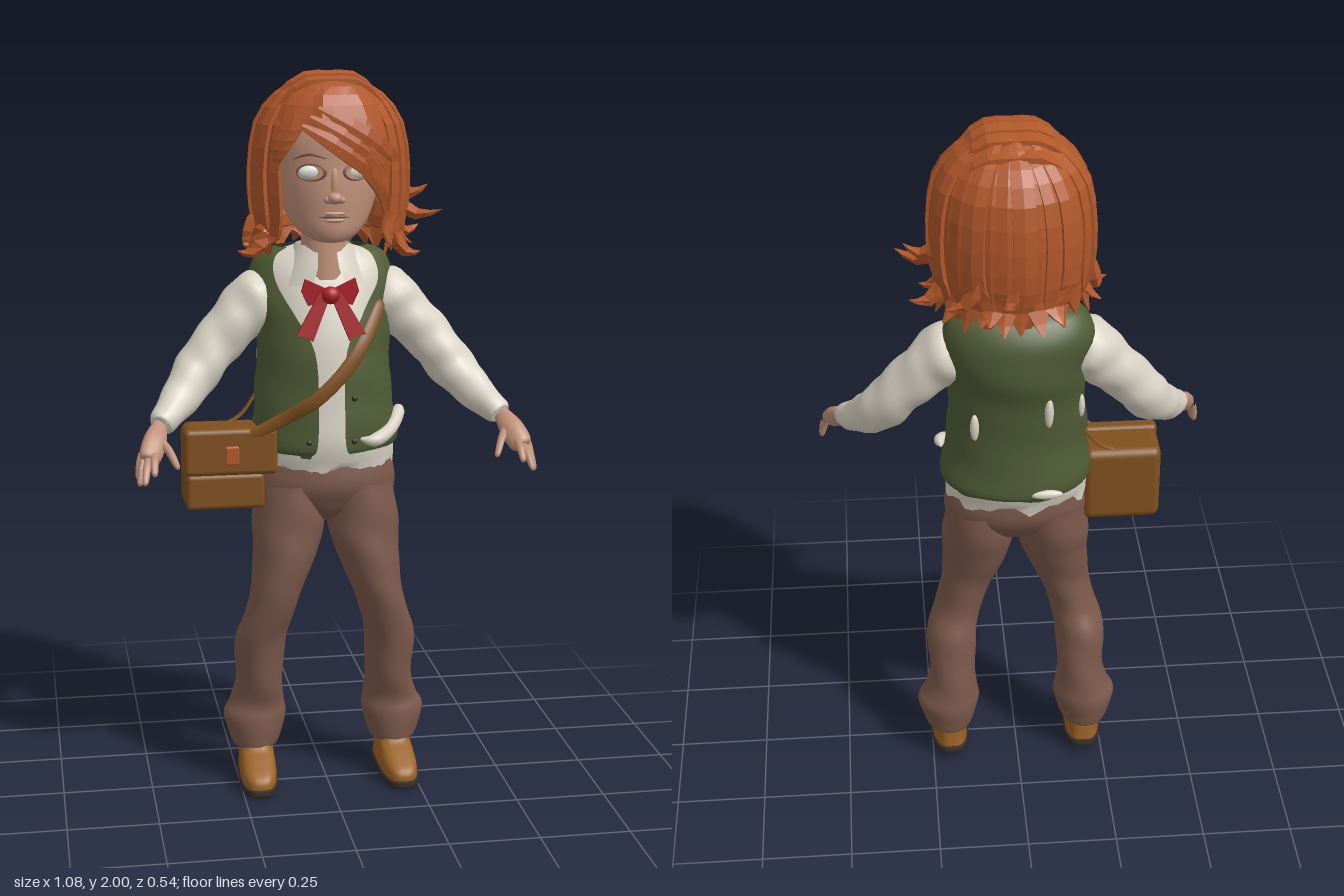
import * as THREE from 'three';
import { RoundedBoxGeometry } from 'three/addons/geometries/RoundedBoxGeometry.js';

const V = (x, y, z) => new THREE.Vector3(x, y, z);
const { sin, cos, PI, min, max } = Math;

// Smooth interpolation through a list of number rows
function mix(P, t) {
  const n = P.length - 1, s = min(t * n, n - 1e-6), i = Math.floor(s), f = s - i;
  return P[i].map((b, k) => {
    const a = P[max(i - 1, 0)][k], c = P[i + 1][k], d = P[min(i + 2, n)][k];
    return b + 0.5 * f * (c - a + f * (2 * a - 5 * b + 4 * c - d + f * (3 * (b - c) + d - a)));
  });
}

// Surface through rows of points
function grid(rows, closed) {
  const m = rows[0].length, idx = [], pos = rows.flat().flatMap(p => [p.x, p.y, p.z]);
  for (let i = 0; i < rows.length - 1; i++) {
    for (let j = 0; j < (closed ? m : m - 1); j++) {
      const a = i * m + j, b = i * m + (j + 1) % m;
      idx.push(a, b, b + m, a, b + m, a + m);
    }
  }
  const g = new THREE.BufferGeometry();
  g.setAttribute('position', new THREE.Float32BufferAttribute(pos, 3));
  g.setIndex(idx);
  g.computeVertexNormals();
  return g;
}

// Upward stack of ellipses [cx, y, cz, rx, rz], with optional front opening [.., left x, right x]
function loft(rings, { seg = 32, rows = rings.length * 4, wob = () => 0, edge = () => 0 } = {}) {
  const open = rings[0].length > 5, out = [];
  const asin = v => Math.asin(max(-1, min(1, v)));
  for (let i = 0; i <= rows; i++) {
    const [cx, y, cz, rx, rz, L, R] = mix(rings, i / rows), row = [];
    const a = open ? asin((R - cx) / rx) : 0, e = 2 * PI + (open ? asin((L - cx) / rx) : 0);
    for (let j = 0; j < seg + (open ? 1 : 0); j++) {
      const th = a + (e - a) * j / seg, k = 1 + wob(th, y);
      row.push(V(cx + rx * k * sin(th), y + (i ? 0 : edge(th)), cz + rz * k * cos(th)));
    }
    out.push(row);
  }
  return grid(out, !open);
}

// Tapered sweep through [x, y, z, radius]; flat widens it across the up direction
function limb(pts, { seg = 12, rows = pts.length * 5, up = V(0, 0, 1), flat = 1, wob = () => 0 } = {}) {
  const out = [];
  for (let i = 0; i <= rows; i++) {
    const t = i / rows, [x, y, z, r] = mix(pts, t);
    const p = mix(pts, min(1, t + 0.01)), q = mix(pts, max(0, t - 0.01));
    const T = V(p[0] - q[0], p[1] - q[1], p[2] - q[2]).normalize();
    const N = up.clone().addScaledVector(T, -up.dot(T)).normalize(), B = T.clone().cross(N), row = [];
    for (let j = 0; j < seg; j++) {
      const a = j / seg * 2 * PI, k = max(r, 0.0005) * (1 + wob(a, t));
      row.push(V(x, y, z).addScaledVector(N, k * cos(a)).addScaledVector(B, k * flat * sin(a)));
    }
    out.push(row);
  }
  return grid(out, true);
}

function facet(g) {
  const f = g.toNonIndexed();
  f.computeVertexNormals();
  return f;
}

export function createModel() {
  const root = new THREE.Group();
  const mat = (name, color, side = THREE.FrontSide) => {
    const m = new THREE.MeshStandardMaterial({ color, side });
    m.name = name;
    return m;
  };
  const hair = mat('ginger hair', 0xb0572a, THREE.DoubleSide), skin = mat('skin', 0xc0917a);
  const green = mat('green cloth', 0x4f5b35, THREE.DoubleSide), cream = mat('cream cloth', 0xd9d3c5, THREE.DoubleSide);
  const brown = mat('brown cloth', 0x7c594b), leather = mat('bag leather', 0x80501f);
  const tan = mat('tan leather', 0x9a6226), dark = mat('dark sole', 0x372d28);
  const red = mat('red ribbon', 0xa82028), white = mat('eye white', 0xdcdcd4);
  const add = (name, geo, m, x = 0, y = 0, z = 0) => {
    const mesh = new THREE.Mesh(geo, m);
    mesh.name = name;
    mesh.position.set(x, y, z);
    root.add(mesh);
    return mesh;
  };
  const ball = (name, m, x, y, z, sx, sy, sz) =>
    add(name, new THREE.SphereGeometry(1, 16, 12), m, x, y, z).scale.set(sx, sy, sz);
  const fold = (th, y) => 0.012 * sin(3 * th + y * 22) + 0.014 * sin(y * 48 + 2 * th);

  // Trousers
  add('trouserSeat', loft([[0, .765, -.03, .02, .03], [0, .79, -.035, .11, .075], [0, .83, -.04, .185, .105],
    [0, .88, -.042, .2, .125], [0, .95, -.045, .188, .12]]), brown);
  for (const s of [1, -1]) {
    add('trouserLeg', loft([[.2, .115, -.055, .04, .05], [.2, .1, -.055, .06, .075], [.2, .14, -.057, .078, .08],
      [.2, .19, -.06, .09, .083], [.193, .23, -.06, .076, .08], [.187, .3, -.048, .066, .086],
      [.185, .42, -.03, .072, .086], [.163, .5, -.005, .067, .085], [.135, .6, 0, .075, .094],
      [.112, .7, -.015, .094, .105], [.105, .78, -.03, .1, .115], [.1, .88, -.04, .09, .116]]
      .map(([x, ...r]) => [s * x, ...r]), { wob: fold }), brown);
    // Shoes, tipped slightly on to the toes
    const square = { wob: th => .13 * sin(2 * th) ** 2 };
    const parts = [
      add('shoe', loft([[0, .02, 0, .05, .128], [0, .05, -.005, .05, .122], [0, .078, -.035, .047, .092],
        [0, .1, -.055, .043, .066], [0, .15, -.06, .043, .055]], square), tan),
      add('shoeSole', loft([[0, 0, 0, .001, .001], [0, 0, 0, .048, .125], [0, .012, 0, .053, .132],
        [0, .024, 0, .052, .13], [0, .026, 0, .02, .08]], { rows: 8, ...square }), dark)];
    for (const p of parts) {
      p.position.set(s * .2, .01, 0);
      p.rotation.set(.09, s * .04, 0);
    }
  }

  // Shirt body, collar and the places where it shows
  add('shirt', loft([[0, .925, -.05, .195, .128], [0, 1, -.052, .195, .149], [0, 1.1, -.05, .184, .141],
    [0, 1.25, -.06, .174, .141], [0, 1.35, -.08, .176, .139], [0, 1.45, -.095, .185, .118],
    [0, 1.5, -.09, .15, .085], [0, 1.53, -.08, .07, .06]],
    { seg: 44, edge: th => .014 * sin(7 * th) + .01 * sin(13 * th) }), cream);
  add('shirtCollar', loft([[0, 1.43, -.05, .13, .105, -.05, .05], [0, 1.475, -.052, .105, .094, -.03, .03],
    [0, 1.535, -.06, .077, .074, -.025, .025]]), cream);
  add('loosenedShirtFold', limb([[.08, 1.015, .085, .004], [.12, 1.01, .085, .018], [.17, 1.03, .045, .018],
    [.205, 1.065, -.02, .018], [.205, 1.07, -.06, .003]], { up: V(0, 1, 0) }), cream);
  for (const [x, y, z, sx, sy] of [[.12, 1.2, -.178, .012, .04], [-.075, 1.25, -.2, .012, .045],
    [-.168, 1.22, -.12, .01, .035], [-.07, .995, -.205, .045, .013]])
    ball('shirtShowing', cream, x, y, z, sx, sy, .012);

  // Waistcoat, open at the front with a V neck
  add('waistcoat', loft([[0, .97, -.055, .186, .142, -.055, .055], [0, .995, -.055, .204, .157, -.04, .04],
    [0, 1.1, -.05, .192, .147, -.036, .036], [0, 1.25, -.06, .182, .147, -.042, .042],
    [0, 1.35, -.08, .188, .147, -.09, .09], [0, 1.44, -.098, .2, .127, -.14, .14],
    [0, 1.5, -.1, .178, .096, -.135, .135], [0, 1.525, -.095, .125, .07, -.1, .1]],
    { seg: 40, wob: (th, y) => fold(th, y) * .8 + .008, edge: th => .008 * sin(5 * th) }), green);
  for (const y of [1.01, 1.13, 1.25])
    for (const s of [1, -1]) ball('waistcoatButton', dark, s * .062, y, .094 - max(0, y - 1.13) * .16, .008, .008, .005);

  // Sleeves and hands
  for (const s of [1, -1]) {
    const arm = (name, pts, m, o) => add(name, limb(pts.map(([x, ...r]) => [s * x, ...r]), o), m);
    arm('sleeve', [[.12, 1.42, -.085, .03], [.172, 1.392, -.08, .078], [.23, 1.335, -.07, .074], [.3, 1.262, -.055, .067],
      [.36, 1.185, -.025, .064], [.415, 1.122, .035, .05], [.46, 1.082, .1, .035], [.464, 1.078, .106, .02]], cream,
      { seg: 18, rows: 48, wob: (a, t) => .035 * sin(t * 42 + 2 * a) + .02 * sin(t * 25 - 3 * a) });
    arm('palm', [[.45, 1.09, .08, .02], [.468, 1.075, .115, .023], [.485, 1.045, .16, .033], [.503, 1.01, .198, .029],
      [.506, 1.004, .206, .004]], skin, { up: V(s, .7, 0), flat: .7 });
    const tips = [[.52, 1.02, .178, .534, .955, .2], [.516, 1.01, .19, .532, .945, .232],
      [.505, 1.01, .2, .52, .955, .266], [.49, 1.02, .2, .494, .978, .262], [.472, 1.05, .15, .428, .985, .224]];
    for (const [a, b, c, x, y, z] of tips)
      arm('finger', [[a, b, c, .011], [(a + x) / 2, (b + y) / 2 + .008, (c + z) / 2, .011],
        [a * .1 + x * .9, b * .1 + y * .9, c * .1 + z * .9, .008], [x, y, z, .001]], skin, { seg: 8 });
  }

  // Head and face
  add('neck', new THREE.CylinderGeometry(.06, .068, .17, 20), skin, 0, 1.53, -.04);
  add('head', loft([[0, 1.553, .065, .004, .006], [0, 1.56, .065, .045, .055], [0, 1.585, .048, .084, .088],
    [0, 1.63, .02, .115, .118], [0, 1.69, .005, .134, .135], [0, 1.75, 0, .142, .137], [0, 1.85, -.02, .146, .15],
    [0, 1.93, -.03, .1, .11], [0, 1.96, -.03, .005, .005]]), skin);
  ball('nose', skin, 0, 1.678, .14, .02, .016, .022);
  ball('noseBridge', skin, 0, 1.715, .128, .014, .05, .016);
  for (const s of [1, -1]) ball('nostrilWing', skin, s * .017, 1.673, .136, .012, .01, .012);
  add('mouth', limb([[-.042, 1.627, .129, .001], [0, 1.63, .14, .005], [.042, 1.627, .129, .001]]), brown);
  ball('upperLip', skin, 0, 1.637, .135, .03, .006, .008);
  ball('lowerLip', skin, 0, 1.619, .133, .028, .007, .008);
  for (const s of [1, -1]) {
    ball('eye', white, s * .06, 1.745, .119, .034, .019, .013);
    const lid = add('eyeRim', new THREE.TorusGeometry(.038, .0045, 6, 24), brown, s * .06, 1.745, .125);
    lid.scale.y = .56;
    lid.rotation.y = s * .42;
    add('eyebrow', limb([[s * .022, 1.782, .138, .002], [s * .065, 1.792, .126, .004], [s * .105, 1.778, .1, .001]]), brown);
    ball('ear', skin, s * .145, 1.69, -.01, .018, .042, .028);
  }

  // Hair shell, parted on one side and open around the face
  add('hair', facet(loft([[.012, 1.53, -.06, .176, .152, -.15, .15], [.012, 1.6, -.06, .195, .168, -.15, .152],
    [.012, 1.68, -.052, .202, .182, -.15, .142], [.01, 1.75, -.046, .203, .19, -.143, .08],
    [.01, 1.8, -.042, .2, .19, -.115, .01], [.01, 1.86, -.038, .181, .175, -.08, -.08],
    [.01, 1.93, -.034, .143, .143, -.07, -.07], [.01, 1.975, -.03, .085, .088, -.04, -.04],
    [.01, 1.99, -.03, .0005, .0005, .01, .01]],
    { seg: 36, rows: 18, wob: (th, y) => y > 1.96 ? 0 : .02 * sin(9 * th + y * 5) + .012 * sin(17 * th),
      edge: th => .025 * sin(11 * th) })), hair);
  // Fringe strands sweeping across the brow
  for (let i = 0; i < 3; i++) {
    const d = i * .022;
    add('fringeStrand', facet(limb([[-.085 + d, 1.865 + d, .13 - d * .3, .003], [.01 + d, 1.812 + d, .142 - d * .2, .009],
      [.09 + d, 1.755 + d, .12 - d * .3, .01], [.15 + d * .8, 1.675 + d, .076 - d * .8, .009], [.165 + d, 1.57, .06 - d, .001]],
      { seg: 6, rows: 9, up: V(.3, 0, 1), flat: 3 })), hair);
  }
  // Long overlapping panels falling from the crown, with ragged tips
  let seed = 7;
  const rnd = () => (seed = (seed * 16807) % 2147483647) / 2147483647;
  for (let i = 0; i < 22; i++) {
    const th = .95 + i / 21 * 4.35, sx = sin(th), sz = cos(th), tw = th + .25 * (rnd() - .5);
    const lift = .006 * (i % 3), tipY = 1.5 + .05 * rnd(), out = .19 + .05 * rnd();
    const at = (k, y, r, a = th) => [.012 + sin(a) * k, y, -.045 + cos(a) * k * .94, r];
    add('hairPanel', facet(limb([at(.06, 1.975 + lift, .003), at(.128 + lift, 1.935, .009), at(.182 + lift, 1.86, .01),
      at(.2 + lift, 1.74, .01), at(.195 + lift, 1.63, .011), at(.192, 1.57, .01, tw), at(out, tipY, .001, tw)],
      { seg: 6, rows: 12, up: V(sx, .3, sz), flat: 3.4 })), hair);
  }
  // Low wave over the top of the crown
  for (const [z, y] of [[.02, 1.965], [-.03, 1.977], [-.08, 1.97], [-.125, 1.945]])
    add('crownPanel', facet(limb([[-.15, y - .07, z, .004], [-.07, y, z, .014], [.01, y + .008, z, .015],
      [.09, y, z, .014], [.165, y - .07, z, .004]], { seg: 6, rows: 10, up: V(0, 1, 0), flat: 2.6 })), hair);
  // Flicked ends at the sides
  for (const [x, y, z, tx, ty, tz] of [[.19, 1.66, -.03, .31, 1.63, .03], [.2, 1.7, -.08, .29, 1.69, -.06],
    [.19, 1.6, -.1, .28, 1.57, -.14], [.17, 1.58, .03, .25, 1.52, .04], [-.17, 1.58, .03, -.245, 1.53, .03],
    [-.18, 1.6, -.05, -.225, 1.54, -.02], [.1, 1.65, -.2, .19, 1.58, -.22], [.02, 1.66, -.21, .04, 1.6, -.27]])
    add('hairFlick', facet(limb([[x * .9, y + .07, z * .95, .003], [x, y, z, .02], [(x + tx) / 2, (y + ty) / 2 - .03, (z + tz) / 2, .016],
      [tx, ty, tz, .001]], { seg: 5, rows: 6, up: V(.3, 1, .2), flat: 1.7 })), hair);

  // Ribbon bow at the neck
  const plate = pts => new THREE.ExtrudeGeometry(new THREE.Shape(pts.map(p => new THREE.Vector2(...p))),
    { depth: .014, bevelEnabled: false });
  for (const s of [1, -1]) {
    add('bowLoop', plate([[0, .012], [s * .068, .044], [s * .078, .01], [s * .06, -.028], [0, -.012]]), red, 0, 1.41, .055);
    add('bowTail', plate([[0, 0], [s * .03, .005], [s * .095, -.108], [s * .068, -.112], [s * .05, -.125]]),
      red, 0, 1.41, .06).rotation.x = -.13;
  }
  ball('bowKnot', red, 0, 1.41, .07, .026, .024, .022);

  // Satchel with flap, buckle and strap
  add('satchelBody', new RoundedBoxGeometry(.215, .225, .13, 3, .025), leather, -.29, .932, -.025);
  add('satchelFlap', new RoundedBoxGeometry(.255, .13, .045, 3, .015), leather, -.272, .985, .047);
  add('satchelPocket', new RoundedBoxGeometry(.215, .1, .03, 3, .014), leather, -.287, .872, .042);
  add('satchelBuckle', new RoundedBoxGeometry(.038, .052, .014, 2, .005), hair, -.27, .978, .073);
  add('satchelStrap', limb([[-.235, 1.02, .062, .016], [-.13, 1.075, .075, .019], [-.05, 1.125, .102, .02],
    [.03, 1.2, .1, .02], [.09, 1.28, .078, .02], [.143, 1.37, .022, .016], [.15, 1.38, 0, .004]],
    { up: V(-.7, .7, 0), flat: .35 }), leather);
  add('satchelRearStrap', limb([[-.3, 1.03, -.05, .012], [-.23, 1.06, -.07, .012], [-.17, 1.14, -.09, .01]],
    { up: V(0, 0, 1), flat: .4 }), leather);
  return root;
}
